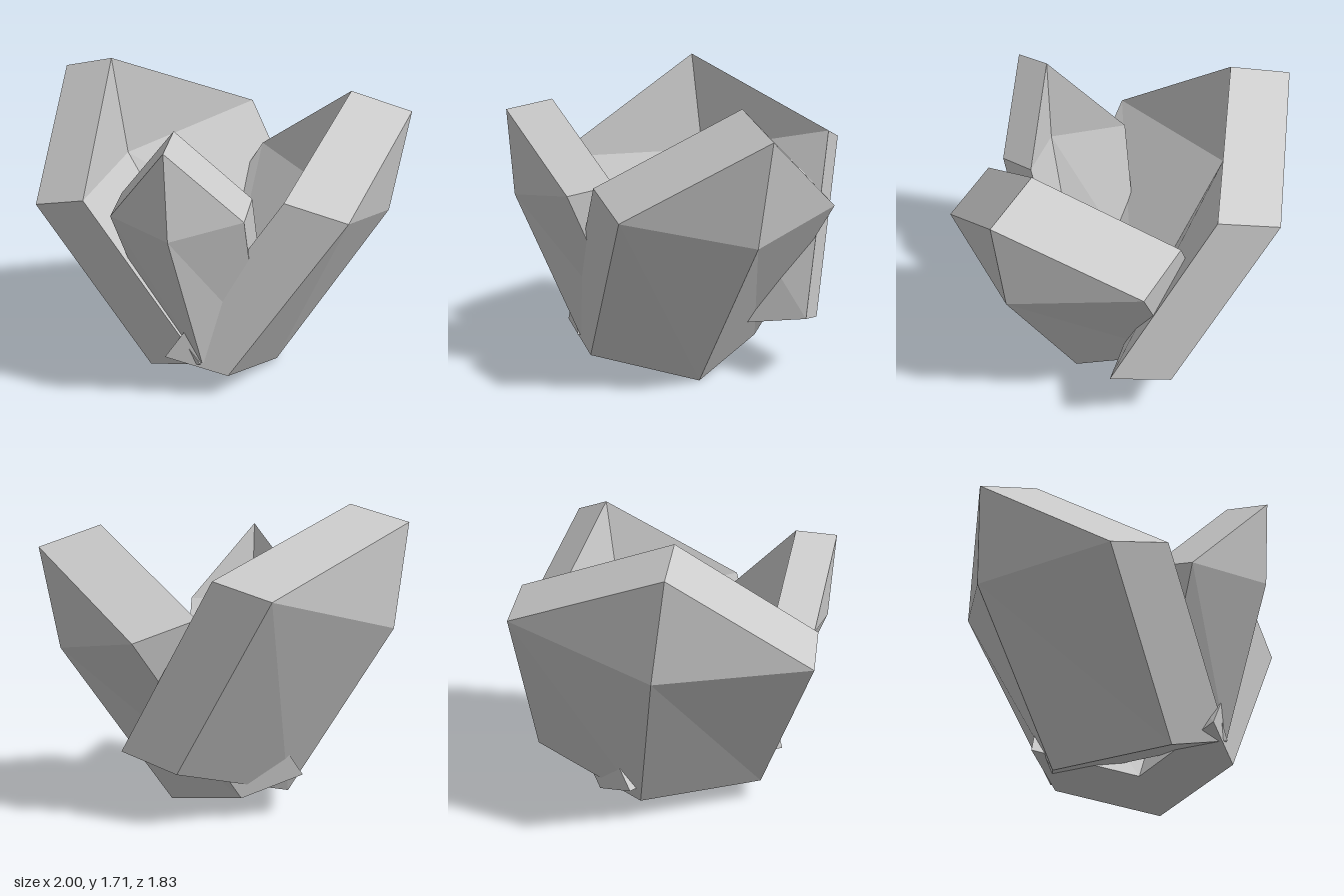
import * as THREE from 'three';

// Point order of one folded plate, seen from outside:
// 0 peak, 1 left shoulder, 2 centre, 3 right shoulder,
// 4 bottom left, 5 bottom centre, 6 bottom right
const FACES = [[0, 1, 2], [0, 2, 3], [1, 4, 5, 2], [2, 5, 6, 3]];
const RIM = [0, 1, 4, 5, 6, 3];

// A folded front surface, its shifted copy behind, and a rim joining the two
function foldedPlate(name, points, inward) {
  const shift = new THREE.Vector3(...inward);
  const outer = points.map((p) => new THREE.Vector3(...p));
  const inner = outer.map((p) => p.clone().add(shift));
  const positions = [];
  const addFace = (corners) => {
    for (let i = 1; i < corners.length - 1; i++) {
      for (const c of [corners[0], corners[i], corners[i + 1]]) positions.push(c.x, c.y, c.z);
    }
  };

  for (const face of FACES) {
    addFace(face.map((i) => outer[i]));
    addFace(face.map((i) => inner[i]).reverse());
  }
  RIM.forEach((a, i) => {
    const b = RIM[(i + 1) % RIM.length];
    addFace([outer[b], outer[a], inner[a], inner[b]]);
  });

  const geometry = new THREE.BufferGeometry();
  geometry.setAttribute('position', new THREE.Float32BufferAttribute(positions, 3));
  geometry.computeVertexNormals();
  const material = new THREE.MeshStandardMaterial({ color: 0xcccccc, flatShading: true });
  const mesh = new THREE.Mesh(geometry, material);
  mesh.name = name;
  return mesh;
}

export function createModel() {
  const model = new THREE.Group();
  model.name = 'crossedFoldedPlates';

  // Large plate at the front left
  model.add(foldedPlate('frontLeftPlate', [
    [1.0, 1.47, 0.5],
    [0.33, 1.03, 0.91], [0.89, 0.9, 0.47], [0.87, 1.0, -0.26],
    [-0.2, 0.13, 0.56], [0.31, 0, 0.22], [0.25, 0.11, -0.38],
  ], [-0.31, 0.12, -0.15]));

  // Widest plate at the back
  model.add(foldedPlate('backPlate', [
    [-0.51, 1.62, -0.87],
    [0.45, 1.25, -0.92], [-0.42, 1.05, -0.86], [-1.0, 1.03, -0.18],
    [0.68, 0.3, -0.39], [-0.05, 0.12, -0.41], [-0.49, 0.12, 0.19],
  ], [0.145, 0.09, 0.32]));

  // Small plate at the front right
  model.add(foldedPlate('frontRightPlate', [
    [-0.66, 1.5, 0.72],
    [-0.76, 1.06, 0.28], [-0.63, 1.02, 0.7], [-0.2, 1.07, 0.73],
    [-0.4, 0.25, 0.135], [-0.33, 0.21, 0.505], [0.04, 0.26, 0.485],
  ], [0.16, 0.05, -0.2]));

  return model;
}
